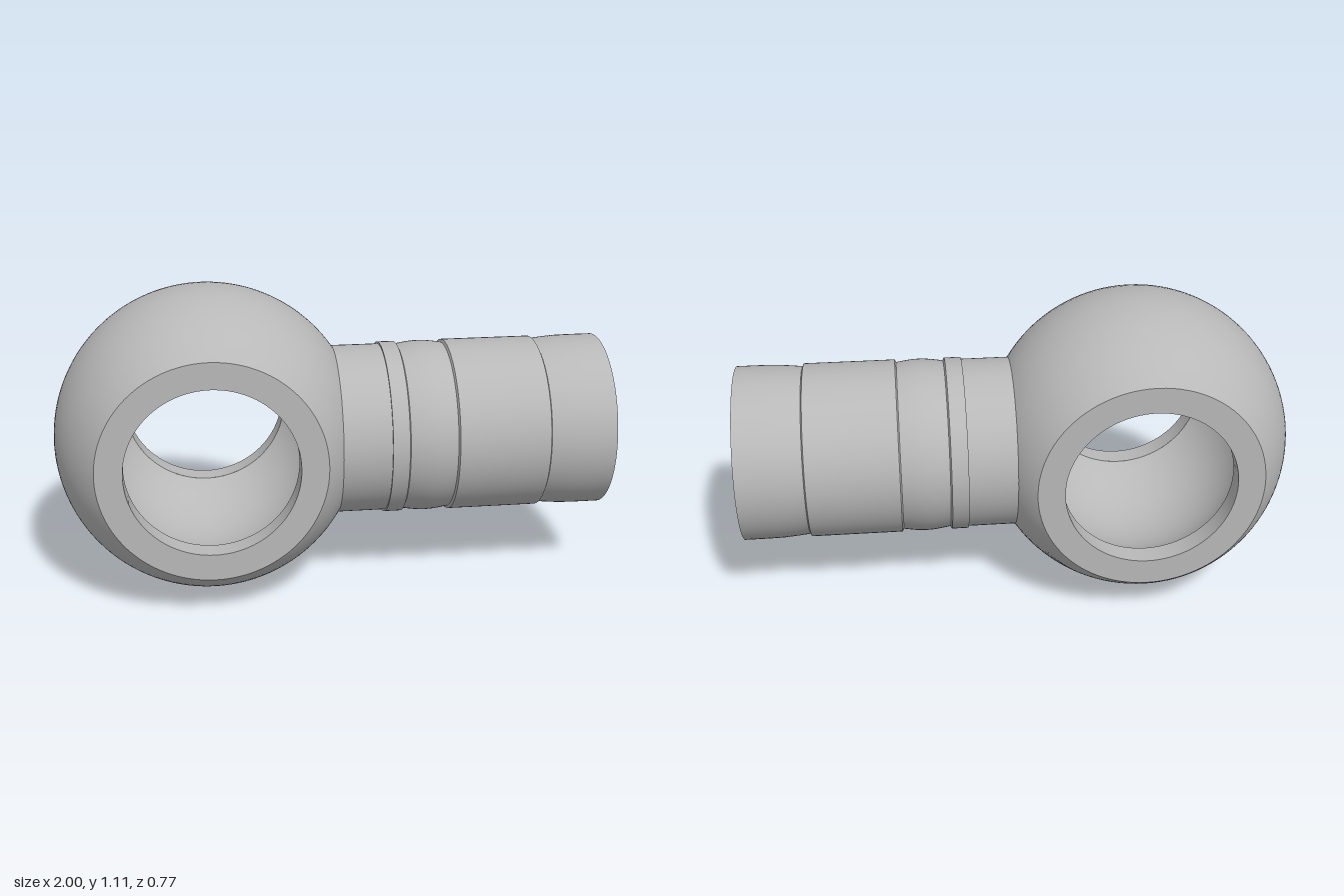
import * as THREE from 'three';
import { toCreasedNormals } from 'three/addons/utils/BufferGeometryUtils.js';

const CX = -0.445, CY = 0.555;          // centre of the ball eye
const R_OUT = 0.555, R_IN = 0.43;       // outer ball and inner chamber
const H_OUT = 0.383, H_IN = 0.303;      // half widths where they are cut flat
const R_HOLE = 0.305, R_NECK = 0.308, R_BORE = 0.152;

// Spherical zone |z| <= h with a round opening of radius `hole` facing +x.
function sphereZone(R, h, hole, inward) {
  const rows = [], cols = 96, pos = [], nor = [], idx = [];
  for (let i = 0; i < 12; i++) rows.push(-h + (h - hole) * i / 12);
  for (let i = 0; i <= 32; i++) rows.push(hole * Math.sin(Math.PI * (i / 32 - 0.5)));
  for (let i = 1; i <= 12; i++) rows.push(hole + (h - hole) * i / 12);
  const plane = Math.sqrt(R * R - hole * hole), s = inward ? -1 : 1;
  rows.forEach((z, i) => {
    const rho = Math.sqrt(R * R - z * z);
    const start = Math.abs(z) < hole ? Math.acos(Math.min(1, plane / rho)) : 0;
    for (let j = 0; j <= cols; j++) {
      const a = start + (2 * Math.PI - 2 * start) * j / cols;
      const x = rho * Math.cos(a), y = rho * Math.sin(a);
      pos.push(x, y, z);
      nor.push(s * x / R, s * y / R, s * z / R);
      if (i < rows.length - 1 && j < cols) {
        const p = i * (cols + 1) + j, q = p + cols + 1;
        if (inward) idx.push(p, q, p + 1, p + 1, q, q + 1);
        else idx.push(p, p + 1, q, p + 1, q + 1, q);
      }
    }
  });
  const g = new THREE.BufferGeometry();
  g.setAttribute('position', new THREE.Float32BufferAttribute(pos, 3));
  g.setAttribute('normal', new THREE.Float32BufferAttribute(nor, 3));
  g.setIndex(idx);
  return g;
}

// Profile of [x along the axis, radius], turned about the x axis.
function turned(profile) {
  const g = new THREE.LatheGeometry(profile.map(([x, r]) => new THREE.Vector2(r, x)), 96);
  g.rotateZ(-Math.PI / 2);
  return toCreasedNormals(g, 0.4);
}

export function createModel() {
  const model = new THREE.Group();
  model.name = 'banjoFitting';
  const metal = new THREE.MeshStandardMaterial({ color: 0xb8b8b8 });
  metal.name = 'grey metal';
  const add = (parent, name, geometry) => {
    const mesh = new THREE.Mesh(geometry, metal);
    mesh.name = name;
    parent.add(mesh);
    return mesh;
  };

  // Ball eye: outer skin, hollow chamber, flat faces and the two bolt holes
  const eye = new THREE.Group();
  eye.name = 'ballEye';
  eye.position.set(CX, CY, 0);
  model.add(eye);
  add(eye, 'ballSkin', sphereZone(R_OUT, H_OUT, R_NECK, false));
  add(eye, 'innerChamber', sphereZone(R_IN, H_IN, R_BORE, true));
  const faceRadius = Math.sqrt(R_OUT * R_OUT - H_OUT * H_OUT);
  for (const side of [1, -1]) {
    const face = add(eye, side > 0 ? 'frontFace' : 'backFace',
      new THREE.RingGeometry(R_HOLE, faceRadius, 96));
    face.position.z = side * H_OUT;
    if (side < 0) face.rotation.y = Math.PI;
    const wall = turned([[H_OUT, R_HOLE], [H_IN, R_HOLE]]);
    wall.rotateY(-side * Math.PI / 2);
    add(eye, side > 0 ? 'frontHoleWall' : 'backHoleWall', wall);
  }

  // Stem: neck, ring, crimped sleeve, hose socket and bored nipple
  const stem = new THREE.Group();
  stem.name = 'stem';
  stem.position.y = CY;
  model.add(stem);
  add(stem, 'neck', turned([[0.005, R_NECK], [0.19, R_NECK], [0.19, 0.315],
    [0.25, 0.315], [0.255, 0.305]]));

  const sleeve = [[0.255, 0.305]];
  for (let i = 0; i <= 12; i++) {
    sleeve.push([0.26 + 0.165 * i / 12, 0.306 + 0.009 * Math.sin(Math.PI * i / 12)]);
  }
  sleeve.push([0.43, 0.316], [0.758, 0.316], [0.763, 0.306], [0.81, 0.311],
    [0.86, 0.315], [0.92, 0.316], [1, 0.316], [1, 0.311], [0.9, 0.308],
    [0.77, 0.285], [0.43, 0.285], [0.27, 0.285], [0.27, 0.19]);
  add(stem, 'sleeve', turned(sleeve));

  const nipple = [[0.27, 0.2], [0.955, 0.2]];
  for (let i = 1; i <= 12; i++) {
    const a = Math.PI * i / 12;
    nipple.push([0.955 + 0.035 * Math.sin(a), 0.177 + 0.023 * Math.cos(a)]);
  }
  nipple.push([0.95, R_BORE]);
  const boreStart = CX + Math.sqrt(R_IN * R_IN - R_BORE * R_BORE);
  nipple.push([boreStart, R_BORE]);
  add(stem, 'nipple', turned(nipple));

  return model;
}
